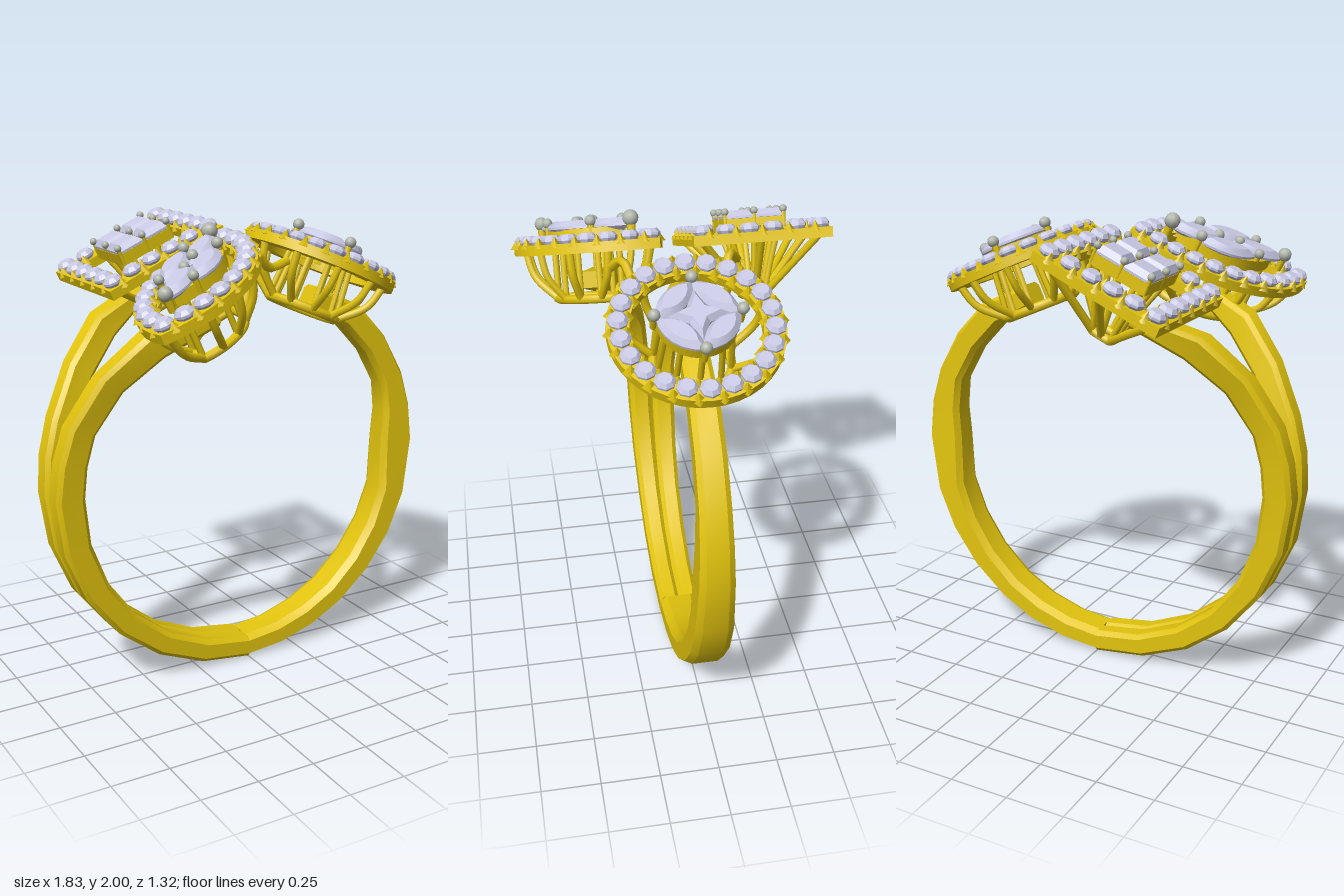
import * as THREE from 'three';
import { toCreasedNormals } from 'three/addons/utils/BufferGeometryUtils.js';

const gold = new THREE.MeshStandardMaterial({ color: 0xe2c40e });
const stone = new THREE.MeshStandardMaterial({ color: 0xc8c8e4 });
const beadGrey = new THREE.MeshStandardMaterial({ color: 0xb0b4a8 });
const V2 = (x, y) => new THREE.Vector2(x, y);
const V3 = (x, y, z) => new THREE.Vector3(x, y, z);

function add(parent, name, geometry, material, pos) {
  const mesh = new THREE.Mesh(geometry, material);
  mesh.name = name;
  if (pos) mesh.position.copy(pos);
  parent.add(mesh);
  return mesh;
}

// Skin over equal-length rings of Vector3, capped at both ends
function loft(rings, crease) {
  const n = rings[0].length, pos = [], idx = [];
  for (const ring of rings) for (const p of ring) pos.push(p.x, p.y, p.z);
  for (let k = 0; k < rings.length - 1; k++) {
    for (let i = 0; i < n; i++) {
      const a = k * n + i, b = k * n + (i + 1) % n;
      idx.push(a, b, b + n, a, b + n, a + n);
    }
  }
  for (const [k, flip] of [[0, true], [rings.length - 1, false]]) {
    const c = rings[k].reduce((s, p) => s.add(p), V3(0, 0, 0)).divideScalar(n);
    const ci = pos.length / 3;
    pos.push(c.x, c.y, c.z);
    for (let i = 0; i < n; i++) {
      const a = k * n + i, b = k * n + (i + 1) % n;
      idx.push(ci, flip ? b : a, flip ? a : b);
    }
  }
  const g = new THREE.BufferGeometry();
  g.setAttribute('position', new THREE.Float32BufferAttribute(pos, 3));
  g.setIndex(idx);
  return toCreasedNormals(g, crease);
}

// Plan outlines, counter-clockwise; plan y becomes -z
const circle = (r, n = 40) => Array.from({ length: n }, (_, i) =>
  V2(r * Math.cos(i * 2 * Math.PI / n), r * Math.sin(i * 2 * Math.PI / n)));
const square = h => [V2(h, h), V2(-h, h), V2(-h, -h), V2(h, -h)];
function lens(halfLength, halfWidth, angle, inset = 0, n = 14) {
  const R = (halfLength ** 2 + halfWidth ** 2) / (2 * halfWidth), c = R - halfWidth, r = R - inset;
  const span = Math.acos(c / r), pts = [];
  for (const side of [1, -1]) for (let i = 0; i < n; i++) {
    const t = -span + 2 * span * i / n;
    pts.push(V2(-side * r * Math.sin(t), side * (r * Math.cos(t) - c)));
  }
  // start at the +x tip and turn to the wanted direction
  return pts.map(p => p.rotateAround(V2(0, 0), angle));
}
const spaced = (pts, n) => new THREE.Shape([...pts, pts[0]]).getSpacedPoints(n).slice(0, n);
const plan = (p, y, s = 1) => V3(p.x * s, y, -p.y * s);

// Cut stone: pointed pavilion, girdle, flat table
const gem = (pts, crown, depth) => loft([
  pts.map(p => plan(p, -depth, 0.08)), pts.map(p => plan(p, -0.004)),
  pts.map(p => plan(p, 0.006)), pts.map(p => plan(p, crown, 0.66))], 0.3);

// Flat wall between two outlines
function frame(outer, inner, y0, y1) {
  const s = new THREE.Shape(outer);
  s.holes.push(new THREE.Path(inner));
  const g = new THREE.ExtrudeGeometry(s, { depth: y1 - y0, bevelEnabled: false });
  return toCreasedNormals(g.rotateX(-Math.PI / 2).translate(0, y0, 0), 0.6);
}
const wire = (pts, r, closed = false) =>
  new THREE.TubeGeometry(new THREE.CatmullRomCurve3(pts, closed), closed ? 32 : 10, r, 6, closed);

// One setting: halo, wire basket and raised centre cluster
function head(o) {
  const g = new THREE.Group();
  g.name = o.name;
  g.position.set(...o.pos);
  g.rotation.z = o.tilt;
  const outer = o.outline(0), mid = o.outline(0.045), inner = o.outline(0.09);

  add(g, 'haloRail', frame(outer, inner, -0.035, 0.008), gold);
  const gemGeo = gem(circle(0.042, 8), 0.022, 0.05);
  for (const p of spaced(mid, o.gems)) add(g, 'haloStone', gemGeo, stone, plan(p, 0.024));
  const tooth = new THREE.ConeGeometry(0.03, 0.045, 4);
  for (const edge of [o.outline(0.014), o.outline(0.078)])
    spaced(edge, o.gems * 2).forEach((p, i) => {
      if (i % 2) add(g, 'haloTooth', tooth, gold, plan(p, 0.016));
    });

  // Basket ribs, base ring and struts carrying the cluster
  for (const p of spaced(mid, o.ribs)) {
    add(g, 'basketRib', wire([plan(p, -0.02), plan(p, -0.13, o.bulge),
      plan(p, -o.depth, o.base)], 0.017), gold);
    add(g, 'clusterStrut', wire([plan(p, 0.03, o.cluster), plan(p, -0.1, (o.cluster + o.base) / 2),
      plan(p, -o.depth, o.base)], 0.013), gold);
  }
  add(g, 'baseRing', wire(spaced(mid, 20).map(p => plan(p, -o.depth, o.base)), 0.02, true), gold);

  // Cluster wall, stones and bead prongs
  const scaled = s => outer.map(p => p.clone().multiplyScalar(s));
  add(g, 'clusterWall', frame(scaled(o.cluster), scaled(o.cluster * 0.85), 0.015, 0.065), gold);
  for (const s of o.stones) add(g, 'centreStone', gem(s.pts, 0.03, 0.05), stone, V3(s.x, 0.07, -s.y));
  const bead = new THREE.SphereGeometry(1, 10, 8);
  const post = new THREE.CylinderGeometry(0.6, 0.5, 1, 6);
  for (const [x, y, r] of o.beads) {
    add(g, 'beadProng', bead, beadGrey, V3(x, 0.095, -y)).scale.setScalar(r);
    add(g, 'prongPost', post, gold, V3(x, 0.055, -y)).scale.set(r, 0.07, r);
  }
  return g;
}

// Band section stations: [degrees, inner radius, outer radius, z centre, half width]
function band(stations, mirror) {
  const rings = [];
  const last = stations.length - 1;
  for (let k = 0; k < last; k++) {
    const [a, b] = [stations[k], stations[k + 1]];
    const steps = Math.max(1, Math.round((b[0] - a[0]) / 13));
    for (let i = 0; i < steps + (k === last - 1 ? 1 : 0); i++) {
      const [deg, ri, ro, zc, h] = a.map((v, j) => v + (b[j] - v) * i / steps);
      const t = THREE.MathUtils.degToRad(deg);
      const section = [[ri + 0.02, -h], [ro - 0.018, -h], [ro, -h * 0.65], [ro, h * 0.65],
        [ro - 0.018, h], [ri + 0.02, h], [ri, h * 0.6], [ri, -h * 0.6]];
      rings.push(section.map(([r, w]) =>
        V3(r * Math.cos(t), 0.91 + r * Math.sin(t), mirror * zc - w)));
    }
  }
  return loft(rings, 0.45);
}

export function createModel() {
  const model = new THREE.Group();
  model.name = 'ring';

  // Single shank on the left, split shank on the right
  add(model, 'singleShank', band([[270, 0.81, 0.91, 0, 0.09], [304, 0.80, 0.91, 0, 0.088],
    [343, 0.77, 0.91, 0, 0.08], [360, 0.74, 0.91, 0, 0.072], [381, 0.785, 0.905, 0, 0.064],
    [408, 0.77, 0.89, 0, 0.06], [424, 0.75, 0.85, 0, 0.058]], 1), gold);
  for (const m of [1, -1])
    add(model, 'splitShank', band([[113, 0.78, 0.85, 0.33, 0.06], [130, 0.775, 0.9, 0.235, 0.06],
      [145, 0.785, 0.905, 0.15, 0.055], [160, 0.79, 0.91, 0.088, 0.055], [180, 0.785, 0.915, 0.06, 0.056],
      [225, 0.80, 0.91, 0.05, 0.05], [270, 0.81, 0.91, 0.045, 0.046]], m), gold);

  // Bridge wires joining the settings
  for (const m of [1, -1])
    add(model, 'bridgeWire', wire([V3(-0.13, 1.8, 0.27 * m), V3(-0.05, 1.865, 0.22 * m),
      V3(0.03, 1.805, 0.19 * m), V3(0.14, 1.82, 0.15 * m)], 0.02), gold);

  const tilt = 0.42;
  // Round setting: four petals about a concave star
  const quarter = [0, 1, 2, 3].map(i => i * Math.PI / 2);
  const star = circle(1, 8).map((p, i) => p.multiplyScalar(i % 2 ? 0.055 : 0.125));
  model.add(head({
    name: 'roundSetting', pos: [0.41, 1.79, 0], tilt: -tilt,
    outline: d => circle(0.347 - d), gems: 22, ribs: 10, bulge: 0.88, base: 0.52, depth: 0.23, cluster: 0.45,
    stones: [{ pts: star, x: 0, y: 0 }, ...quarter.map(a => ({
      pts: lens(0.118, 0.052, a + Math.PI * 0.75, 0, 6),
      x: 0.112 * Math.cos(a + Math.PI / 4), y: 0.112 * Math.sin(a + Math.PI / 4) }))],
    beads: quarter.map(a => [0.17 * Math.cos(a), 0.17 * Math.sin(a), 0.025]),
  }));

  // Square setting: two by two square stones
  const grid = [-1, 0, 1].flatMap(i => [-1, 0, 1].map(j => [i, j]));
  model.add(head({
    name: 'squareSetting', pos: [-0.305, 1.83, -0.36], tilt,
    outline: d => square(0.29 - d), gems: 20, ribs: 8, bulge: 0.62, base: 0.17, depth: 0.26, cluster: 0.45,
    stones: grid.filter(([i, j]) => i * j).map(([i, j]) => ({ pts: square(0.063), x: i * 0.067, y: j * 0.067 })),
    beads: grid.map(([i, j]) => [i * 0.125, j * 0.125, 0.016]),
  }));

  // Pointed setting: four pointed stones along a diagonal
  const turn = 0.70;
  const along = (u, v, r) => [u * Math.cos(turn) - v * Math.sin(turn), u * Math.sin(turn) + v * Math.cos(turn), r];
  const leaf = (u, v) => ({ pts: lens(0.135, 0.06, turn, 0, 6), x: along(u, v)[0], y: along(u, v)[1] });
  model.add(head({
    name: 'pointedSetting', pos: [-0.385, 1.80, 0.335], tilt,
    outline: d => lens(0.425, 0.245, turn, d), gems: 20, ribs: 10, bulge: 0.88, base: 0.52, depth: 0.23, cluster: 0.52,
    stones: [leaf(0.135, 0), leaf(-0.135, 0), leaf(0.02, 0.075), leaf(-0.02, -0.075)],
    beads: [along(0.27, 0, 0.034), along(-0.27, 0, 0.03), along(0.15, 0.075, 0.024), along(-0.12, 0.085, 0.022),
      along(0.12, -0.085, 0.024), along(-0.15, -0.075, 0.022), along(0.05, 0, 0.024), along(-0.05, 0, 0.022)],
  }));
  return model;
}
